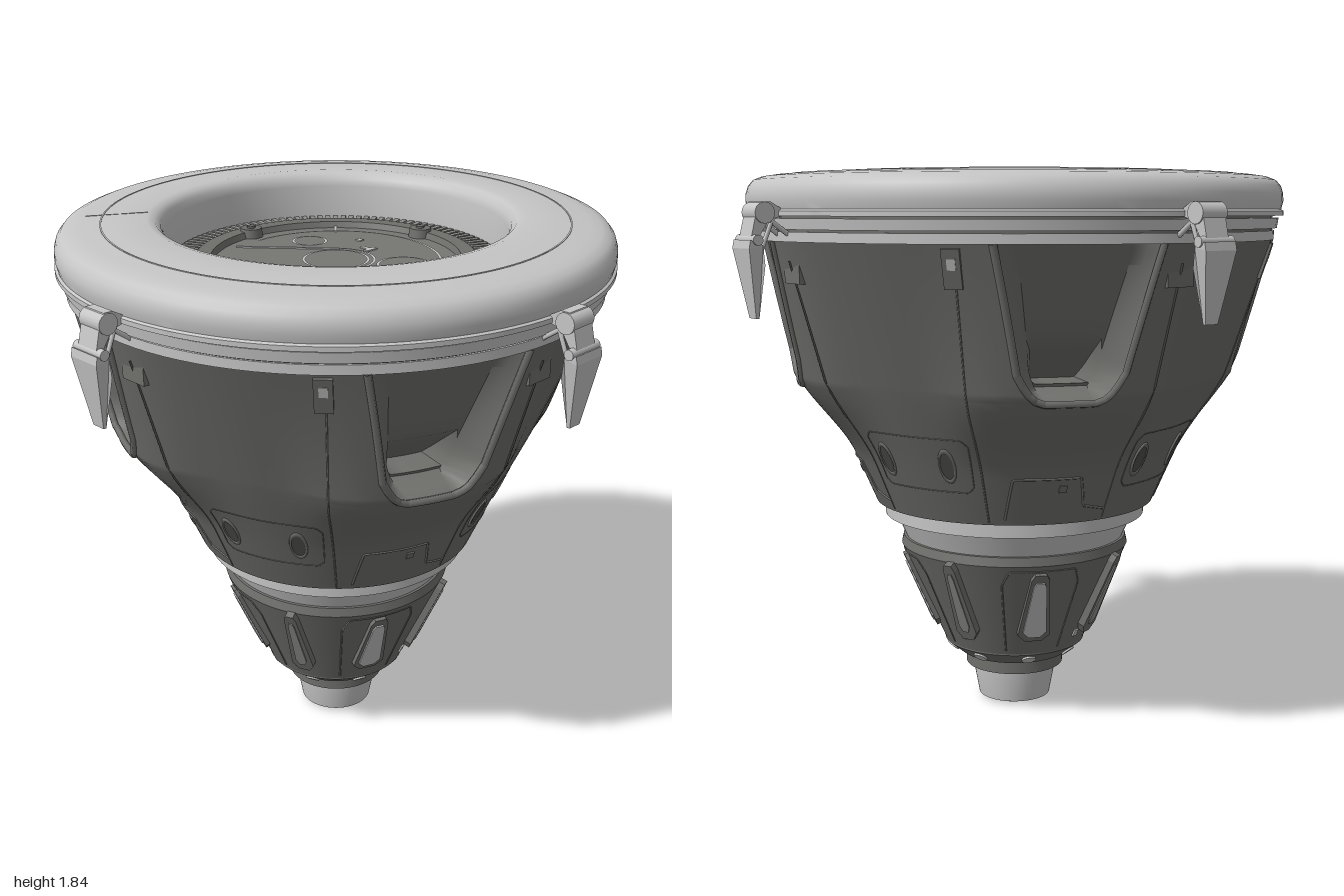
import * as THREE from 'three';
import { mergeGeometries, toCreasedNormals } from 'three/addons/utils/BufferGeometryUtils.js';

const material = (name, color) => {
  const m = new THREE.MeshStandardMaterial({ color });
  m.name = name;
  return m;
};
const hullGrey = material('hull grey', 0x6f6f6c);
const lightGrey = material('light grey', 0xc5c5c5);
const ribGrey = material('rib grey', 0x90908d);
const discGrey = material('disc grey', 0x767673);
const darkGrey = material('dark grey', 0x50504e);

const rad = THREE.MathUtils.degToRad;
const lerp = THREE.MathUtils.lerp;
const smooth = THREE.MathUtils.smoothstep;
const V = (x, y, z) => new THREE.Vector3(x, y, z);

// Hull radius: a cone with four bulges, centred at -22.5 degrees + 90k
function hullRadius(deg, y) {
  const d = Math.abs(((deg + 22.5 + 45) % 90 + 90) % 90 - 45);
  const width = lerp(1, 0.1, smooth(d, 14, 38));
  const bump = y < 1.17 ? smooth(y, 0.9, 1.19) : 1 - (y - 1.17) / 0.45;
  return 0.48 + (y - 0.73) * 0.427 + 0.078 * bump * width;
}
const tailRadius = (deg, y) => 0.245 + (y - 0.225) * 0.435;
const polar = (r, deg, y) => V(r * Math.sin(rad(deg)), y, r * Math.cos(rad(deg)));

// Scoop half-angle with rounded lower corners, its depth, and the undercut intake
const scoopHalf = y => y < 1.24 ? 6 + 6.5 * Math.sqrt(Math.max(0, (y - 1.15) / 0.09)) : lerp(12.5, 17, (y - 1.24) / 0.38);
const scoopDepth = y => smooth(y, 1.15, 1.19) * lerp(0.13, 0.05, Math.max(0, y - 1.175) / 0.445);
const intakeDepth = y => y < 1.2 || y > 1.34 ? 0 : 0.11 * (1.34 - y) / 0.14;

export function createModel() {
  const group = new THREE.Group();
  const add = (name, geo, mat, parent = group) => {
    const mesh = new THREE.Mesh(geo, mat);
    mesh.name = name;
    parent.add(mesh);
    return mesh;
  };
  const lathe = (name, pts, mat, seg = 96) =>
    add(name, toCreasedNormals(new THREE.LatheGeometry(pts.map(p => new THREE.Vector2(...p)), seg), 0.6), mat);

  // Seat an object on a surface given by a radius function
  const place = (obj, fn, deg, y, off = 0) => {
    const at = (d, h) => polar(fn(d, h), d, h);
    const x = at(deg + 0.5, y).sub(at(deg - 0.5, y)).normalize();
    const up = at(deg, y + 0.01).sub(at(deg, y - 0.01));
    const n = x.clone().cross(up).normalize();
    obj.quaternion.setFromRotationMatrix(new THREE.Matrix4().makeBasis(x, n.clone().cross(x), n));
    obj.position.copy(at(deg, y)).addScaledVector(n, off);
    return obj;
  };
  // Thin line following a surface through [degrees, height] points
  const trace = (name, fn, pts, mat, r = 0.003, closed = false) => {
    const path = new THREE.CurvePath();
    const list = closed ? [...pts, pts[0]] : pts;
    const dense = [];
    for (let i = 0; i < list.length - 1; i++) for (let k = 0; k < 8; k++) {
      const d = lerp(list[i][0], list[i + 1][0], k / 8), y = lerp(list[i][1], list[i + 1][1], k / 8);
      dense.push(polar(fn(d, y), d, y));
    }
    const [d, y] = list[list.length - 1];
    dense.push(polar(fn(d, y), d, y));
    for (let i = 0; i < dense.length - 1; i++) path.add(new THREE.LineCurve3(dense[i], dense[i + 1]));
    return add(name, new THREE.TubeGeometry(path, dense.length * 2, r, 6), mat);
  };
  const plate = (pts, depth = 0.008) =>
    new THREE.ExtrudeGeometry(new THREE.Shape(pts.map(p => new THREE.Vector2(...p))), { depth, bevelEnabled: false });

  // Main hull: columns follow the scoop sides so their edges stay crisp
  const cols = [];
  for (let i = 0; i <= 8; i++) cols.push([0, i / 8]);
  for (const s of [-0.88, -0.74, -0.68, -0.35, 0, 0.35, 0.68, 0.74, 0.88]) cols.push([1, s]);
  for (let i = 0; i <= 8; i++) cols.push([2, i / 8]);
  const rows = [];
  for (let i = 0; i <= 16; i++) rows.push(lerp(0.73, 1.15, i / 16));
  rows.push(1.158, 1.17, 1.18, 1.19, 1.199, 1.205, 1.22, 1.24);
  for (let i = 1; i <= 12; i++) rows.push(lerp(1.24, 1.62, i / 12));
  const pos = [], idx = [];
  for (let q = 0; q < 4; q++) for (const [zone, t] of cols) for (const y of rows) {
    const h = scoopHalf(y);
    const d = q * 90 - 22.5 + (zone === 0 ? lerp(-45, -h, t) : zone === 1 ? t * h : lerp(h, 45, t));
    const side = Math.abs(t);
    const sunk = zone === 1 ? scoopDepth(y) * (side > 0.8 ? 0.62 : 1) + (side < 0.7 ? intakeDepth(y) : 0) : 0;
    pos.push(...polar(hullRadius(d, y) - sunk, d, y).toArray());
  }
  const n = rows.length;
  for (let c = 0; c < cols.length * 4 - 1; c++) for (let j = 0; j < n - 1; j++) {
    const a = c * n + j, b = a + n;
    idx.push(a, b, a + 1, b + 1, a + 1, b);
  }
  const hullGeo = new THREE.BufferGeometry();
  hullGeo.setAttribute('position', new THREE.Float32BufferAttribute(pos, 3));
  hullGeo.setIndex(idx);
  add('hull', toCreasedNormals(hullGeo, 0.6), hullGrey);
  lathe('hullUnderside', [[0.38, 0.73], [0.484, 0.73]], hullGrey);

  // Collar, tail cone and bottom nozzle
  lathe('collar', [[0.36, 0.59], [0.375, 0.59], [0.415, 0.68], [0.45, 0.68], [0.45, 0.73]], lightGrey);
  lathe('tailCone', [[0.245, 0.225], [0.395, 0.57], [0.388, 0.6], [0.36, 0.605]], hullGrey);
  lathe('tailBase', [[0.1, 0.128], [0.17, 0.128], [0.17, 0.175], [0.19, 0.175], [0.245, 0.22], [0.245, 0.226]], hullGrey);
  lathe('nozzle', [[0, 0.06], [0.105, 0.06], [0.105, 0.012], [0.125, 0.012], [0.145, 0.12], [0.145, 0.13]], lightGrey, 48);
  for (let i = 0; i < 4; i++) {
    const m = add('nozzleTip', new THREE.CylinderGeometry(0.045, 0.04, 0.07, 20), lightGrey);
    m.position.copy(polar(0.055, 45 + i * 90, 0.035));
  }

  // Top ring with its lower lips and inner steps
  lathe('topRing', [[0.8, 1.695], [0.895, 1.695], [0.895, 1.71], [0.887, 1.715], [0.893, 1.74], [0.892, 1.765], [0.884, 1.789],
    [0.868, 1.808], [0.84, 1.819], [0.8, 1.825], [0.7, 1.832], [0.6, 1.838], [0.575, 1.832], [0.558, 1.815], [0.552, 1.79],
    [0.55, 1.65]], lightGrey, 128);
  lathe('ringBand', [[0.8, 1.655], [0.875, 1.655], [0.88, 1.688], [0.8, 1.688]], lightGrey);
  lathe('ringGap', [[0.86, 1.63], [0.86, 1.7]], hullGrey);
  lathe('hullLip', [[0.68, 1.618], [0.866, 1.618], [0.866, 1.648], [0.8, 1.648]], lightGrey);
  lathe('ringSeam', [[0.747, 1.826], [0.747, 1.8305], [0.742, 1.8308], [0.742, 1.826]], lightGrey, 128);
  const ringSplit = add('ringSplit', new THREE.BoxGeometry(0.004, 0.004, 0.2), lightGrey);
  ringSplit.position.copy(polar(0.7, 225, 1.831));
  ringSplit.rotation.set(0.065, rad(225), 0, 'YXZ');

  // Recessed well: ribbed floor, disc rim and disc
  lathe('wellFloor', [[0.56, 1.66], [0.44, 1.66]], hullGrey);
  const ribs = [];
  for (let i = 0; i < 120; i++) {
    const g = new THREE.BoxGeometry(0.017, 0.03, 0.075);
    g.translate(0, 1.67, 0.508).rotateY(i * Math.PI / 60);
    ribs.push(g);
  }
  add('wellRibs', mergeGeometries(ribs), ribGrey);
  lathe('discRim', [[0.468, 1.64], [0.468, 1.69], [0.455, 1.7], [0.405, 1.7], [0.395, 1.675]], hullGrey);
  lathe('disc', [[0.4, 1.68], [0, 1.68]], discGrey);
  const ringMark = (x, z, r, start = 0, len = 360) => {
    const g = new THREE.RingGeometry(r - 0.005, r + 0.005, 64, 1, rad(start), rad(len)).rotateX(-Math.PI / 2);
    add('discMark', g, lightGrey).position.set(x, 1.684, z);
  };
  ringMark(0, 0, 0.105);
  ringMark(0.09, -0.215, 0.055);
  ringMark(0.11, 0.2, 0.085);
  ringMark(0, 0, 0.34, 200, 255);
  ringMark(0, 0, 0.125, -90, 130);
  const lineMark = (x1, z1, x2, z2, w = 0.01) => {
    const m = add('discMark', new THREE.BoxGeometry(Math.hypot(x2 - x1, z2 - z1), 0.004, w), lightGrey);
    m.position.set((x1 + x2) / 2, 1.683, (z1 + z2) / 2);
    m.rotation.y = -Math.atan2(z2 - z1, x2 - x1);
  };
  lineMark(-0.39, 0.1, 0, 0.125);
  lineMark(-0.13, -0.34, 0.096, -0.08);
  lineMark(0.24, 0.24, 0.31, 0.31);
  lineMark(0.24, -0.24, 0.31, -0.31);
  lineMark(-0.24, 0.24, -0.31, 0.31);
  lineMark(0.14, 0, 0.185, 0, 0.02);
  lineMark(0.155, -0.025, 0.17, -0.025, 0.03);
  lineMark(0.21, -0.105, 0.23, -0.105, 0.02);

  for (let q = 0; q < 4; q++) {
    const a = q * 90;
    // Lugs on the disc rim
    const lug = add('discLug', new THREE.CylinderGeometry(0.036, 0.04, 0.03, 24), hullGrey);
    lug.position.copy(polar(0.41, a, 1.695));
    add('lugBolt', new THREE.CylinderGeometry(0.015, 0.015, 0.006, 6), hullGrey).position.copy(polar(0.41, a, 1.713));

    // Raised scoop rim
    const rim = [1.62, 1.5, 1.4, 1.3, 1.24, 1.205, 1.18, 1.16, 1.15];
    trace('scoopRim', hullRadius, [...rim.map(y => [a - 22.5 - scoopHalf(y), y]),
      ...rim.slice().reverse().map(y => [a - 22.5 + scoopHalf(y), y])], hullGrey, 0.012);

    // Panel seams, hatch outline and lower panel
    trace('panelSlot', hullRadius, [[a, 1.06], [a, 1.56]], darkGrey, 0.004);
    trace('panelSeam', hullRadius, [[a, 0.74], [a, 1.06]], hullGrey, 0.002);
    trace('panelSeam', hullRadius, [[a + 43, 1.6], [a + 43, 1.1], [a + 45, 0.74]], hullGrey, 0.003);
    trace('hatchOutline', hullRadius, [[a + 4, 0.86], [a + 6, 0.84], [a + 39, 0.84], [a + 41, 0.86], [a + 41, 1],
      [a + 39, 1.02], [a + 6, 1.02], [a + 4, 1]], hullGrey, 0.002, true);
    trace('lowerPanel', hullRadius, [[a - 39, 0.75], [a - 36, 0.89], [a - 13, 0.89], [a - 10, 0.79], [a, 0.77]], hullGrey, 0.004);
    place(add('panelStud', new THREE.BoxGeometry(0.025, 0.025, 0.01), hullGrey), hullRadius, a - 19, 0.855);

    // Oval ports in the hatch
    for (const d of [9, 33]) {
      const rimOval = place(add('portRim', new THREE.TorusGeometry(0.03, 0.005, 6, 28), hullGrey), hullRadius, a + d, 0.93, 0.002);
      rimOval.scale.set(0.85, 1.85, 1);
      const oval = place(add('port', new THREE.CircleGeometry(0.028, 28), darkGrey), hullRadius, a + d, 0.93, 0.004);
      oval.scale.set(0.85, 1.85, 1);
    }
    // Latch plates near the hull top
    place(add('latchPlate', new THREE.BoxGeometry(0.055, 0.12, 0.012), hullGrey), hullRadius, a + 42.5, 1.55, 0.003);
    place(add('latchWindow', new THREE.BoxGeometry(0.026, 0.035, 0.014), lightGrey), hullRadius, a + 42.5, 1.565, 0.004);

    // Tail slots: broad light slots alternate with raised narrow ones
    const slot = (w, h) => [[-w * 0.5, -h], [w * 0.5, -h], [w, -h * 0.8], [w * 0.55, h * 0.85], [w * 0.35, h], [-w * 0.35, h], [-w * 0.55, h * 0.85], [-w, -h * 0.8]];
    place(add('slotFrame', plate(slot(0.056, 0.14), 0.018), hullGrey), tailRadius, a - 22.5, 0.415, -0.006);
    place(add('slotLight', plate(slot(0.04, 0.115), 0.005), lightGrey), tailRadius, a - 22.5, 0.41, 0.012);
    place(add('finFrame', plate(slot(0.04, 0.155), 0.028), hullGrey), tailRadius, a + 22.5, 0.43, -0.006);
    place(add('finPanel', plate(slot(0.02, 0.12), 0.004), ribGrey), tailRadius, a + 22.5, 0.43, 0.022);
    trace('tailSeam', tailRadius, [[a, 0.24], [a, 0.5], [a - 4, 0.55], [a - 38, 0.55], [a - 42, 0.5], [a - 42, 0.24]], hullGrey, 0.003);
    place(add('tailStud', new THREE.BoxGeometry(0.02, 0.025, 0.01), lightGrey), tailRadius, a + 15, 0.28);
    for (const d of [-22.5, 22.5])
      place(add('baseVent', new THREE.CylinderGeometry(0.024, 0.024, 0.008, 20).rotateX(Math.PI / 2), lightGrey),
        (_, y) => 0.19 + (y - 0.175) * 1.22, a + d, 0.198, 0.002);

    // Clamp: side profile in (radius, height), extruded sideways
    const clamp = new THREE.Group();
    clamp.name = 'clamp';
    clamp.rotation.y = rad(a);
    group.add(clamp);
    const slab = (name, pts, w) => add(name, plate(pts, w).translate(0, 0, -w / 2).rotateY(-Math.PI / 2), lightGrey, clamp);
    slab('clampHead', [[0.88, 1.695], [0.925, 1.685], [0.975, 1.61], [0.99, 1.61], [0.97, 1.69], [0.95, 1.738], [0.92, 1.738], [0.88, 1.715]], 0.085);
    const lever = slab('clampLever', [[0.958, 1.39], [0.968, 1.39], [1, 1.6], [0.995, 1.625], [0.955, 1.61], [0.95, 1.55]], 0.12);
    const lp = lever.geometry.attributes.position;
    for (let i = 0; i < lp.count; i++) if (lp.getY(i) < 1.5) lp.setX(i, lp.getX(i) * 0.4);
    lever.geometry.computeVertexNormals();
    const pin = (name, r, w, y, z) =>
      add(name, new THREE.CylinderGeometry(r, r, w, 20).rotateZ(Math.PI / 2), lightGrey, clamp).position.set(0, y, z);
    pin('clampPivot', 0.032, 0.095, 1.705, 0.94);
    pin('clampAxle', 0.016, 0.13, 1.625, 0.972);
    for (const x of [-0.035, 0.035]) {
      const rod = new THREE.LineCurve3(V(x, 1.64, 0.86), V(x, 1.69, 0.93));
      const strut = new THREE.LineCurve3(V(x, 1.69, 0.91), V(x, 1.57, 0.96));
      add('clampRod', new THREE.TubeGeometry(rod, 1, 0.008, 6), lightGrey, clamp);
      add('clampRod', new THREE.TubeGeometry(strut, 1, 0.007, 6), lightGrey, clamp);
    }
    add('clampMount', new THREE.BoxGeometry(0.1, 0.12, 0.03), hullGrey, clamp).position.set(0, 1.55, 0.82);
  }
  return group;
}
